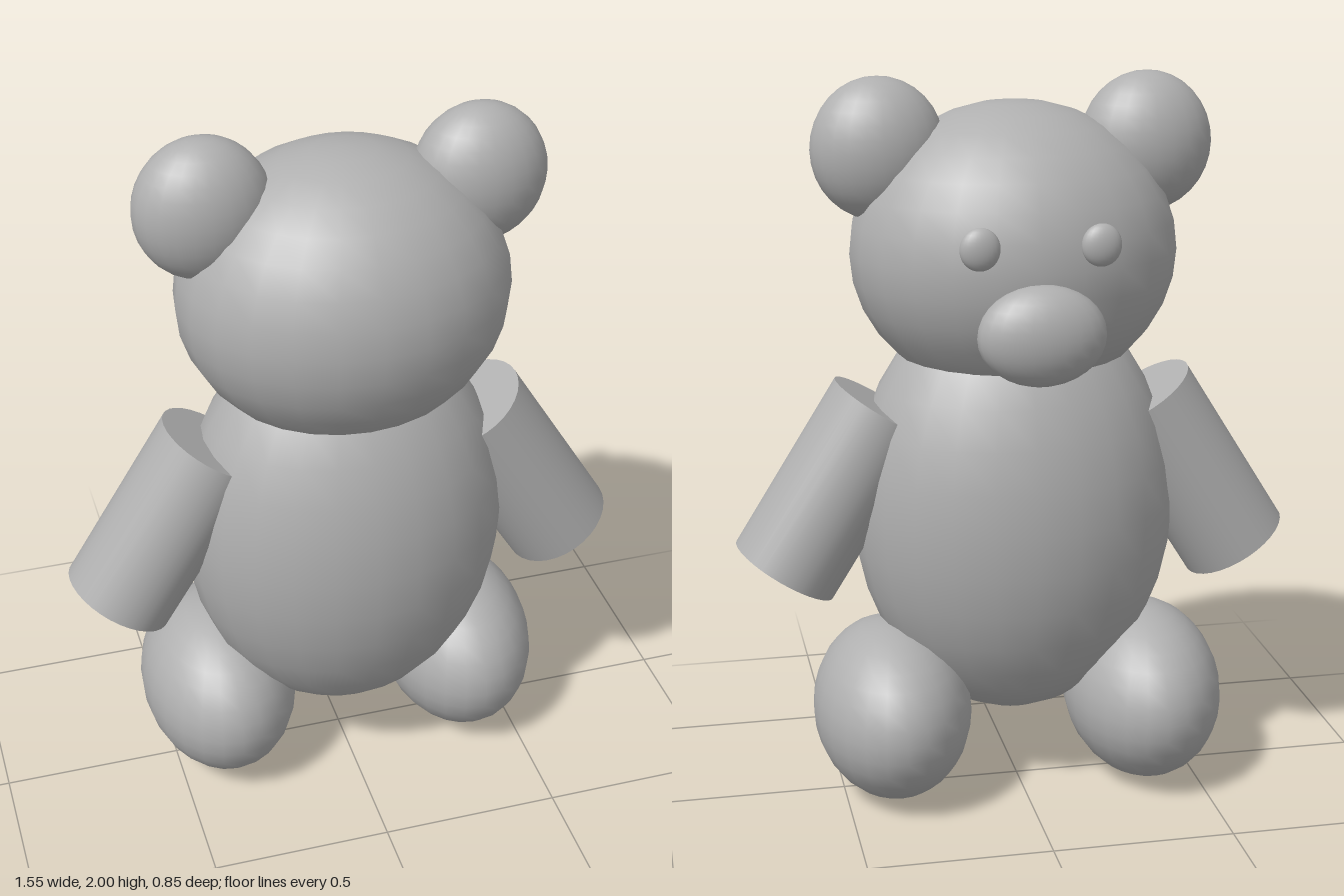
import * as THREE from 'three';

export function createModel() {
  const bear = new THREE.Group();
  bear.name = 'teddyBear';
  const plush = new THREE.MeshStandardMaterial({ color: 0xb0b0b0 });
  plush.name = 'greyPlush';

  const ball = new THREE.SphereGeometry(1, 24, 16);
  const limb = new THREE.CylinderGeometry(0.155, 0.155, 0.533, 32);

  const add = (name, geometry, x, y, z) => {
    const mesh = new THREE.Mesh(geometry, plush);
    mesh.name = name;
    mesh.position.set(x, y, z);
    bear.add(mesh);
    return mesh;
  };
  const ellipsoid = (name, [x, y, z], [rx, ry, rz]) =>
    add(name, ball, x, y, z).scale.set(rx, ry, rz);

  // Trunk and head; the face looks towards -z
  ellipsoid('body', [0, 0.815, 0.045], [0.45, 0.61, 0.356]);
  ellipsoid('head', [0, 1.53, 0.045], [0.446, 0.4, 0.38]);
  ellipsoid('muzzle', [0, 1.373, -0.335], [0.17, 0.133, 0.09]);

  // Paired parts
  for (const [side, s] of [['left', 1], ['right', -1]]) {
    ellipsoid(side + 'Ear', [s * 0.365, 1.81, 0.043], [0.18, 0.19, 0.133]);
    ellipsoid(side + 'Eye', [s * 0.158, 1.6, -0.318], [0.053, 0.056, 0.028]);
    ellipsoid(side + 'Leg', [s * 0.361, 0.25, -0.02], [0.22, 0.25, 0.313]);
    // Arms slant outwards and down
    add(side + 'Arm', limb, s * 0.503, 0.878, 0.043).rotation.z = s * 0.56;
  }
  return bear;
}
